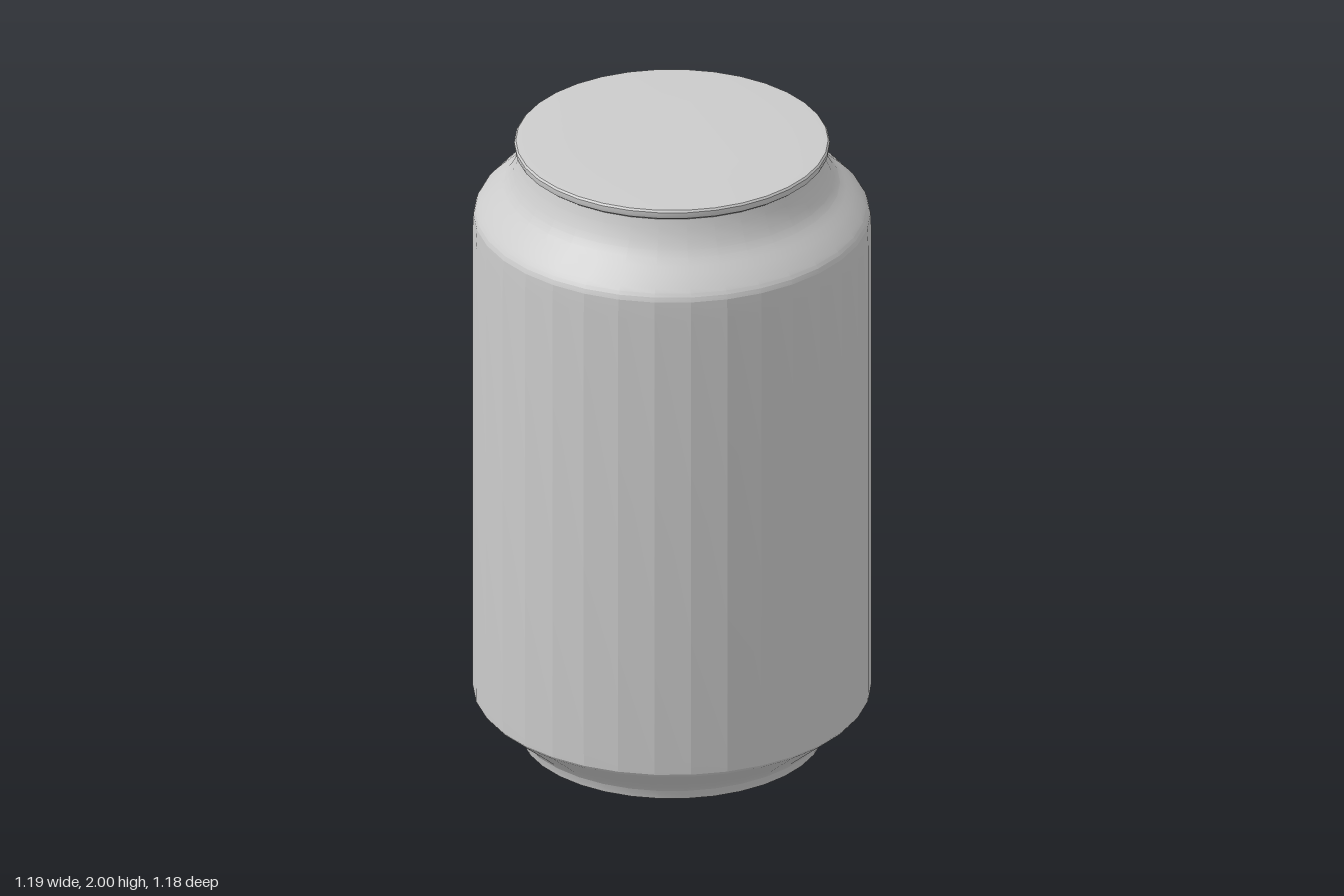
import * as THREE from 'three';
import { toCreasedNormals } from 'three/addons/utils/BufferGeometryUtils.js';

const SIDES = 34;
const material = new THREE.MeshStandardMaterial({ color: 0xcccccc });

// Turned part from [radius, height] points, listed from bottom to top
function turned(name, points, crease = 0.18) {
  const profile = points.map(([r, y]) => new THREE.Vector2(r, y));
  const lathe = new THREE.LatheGeometry(profile, SIDES, Math.PI / 2);
  const mesh = new THREE.Mesh(toCreasedNormals(lathe, crease), material);
  mesh.name = name;
  return mesh;
}

export function createModel() {
  const can = new THREE.Group();
  can.name = 'can';

  // Slightly domed base
  can.add(turned('base', [[0, 0], [0.2, 0.003], [0.34, 0.009], [0.43, 0.018], [0.452, 0.028]], 0.5));

  // Foot and flare up to the wall
  can.add(turned('foot', [[0.452, 0.028], [0.455, 0.04], [0.461, 0.058], [0.475, 0.075], [0.53, 0.122], [0.585, 0.168], [0.592, 0.178]]));

  // Straight wall
  can.add(turned('wall', [[0.592, 0.178], [0.593, 0.22], [0.593, 1.69], [0.59, 1.75]]));

  // Shoulder curving in to the neck
  const shoulder = new THREE.SplineCurve([
    [0.59, 1.75], [0.58, 1.772], [0.545, 1.81], [0.493, 1.86], [0.464, 1.912], [0.449, 1.957],
  ].map(([r, y]) => new THREE.Vector2(r, y)));
  can.add(turned('shoulder', shoulder.getPoints(14).map((p) => [p.x, p.y])));

  // Rolled rim
  can.add(turned('rim', [[0.449, 1.957], [0.457, 1.961], [0.466, 1.968], [0.469, 1.978], [0.469, 1.988], [0.464, 1.994]], 0.5));

  // Slightly domed lid
  can.add(turned('lid', [[0.464, 1.994], [0.44, 1.996], [0.25, 1.999], [0, 2]], 0.5));

  return can;
}
